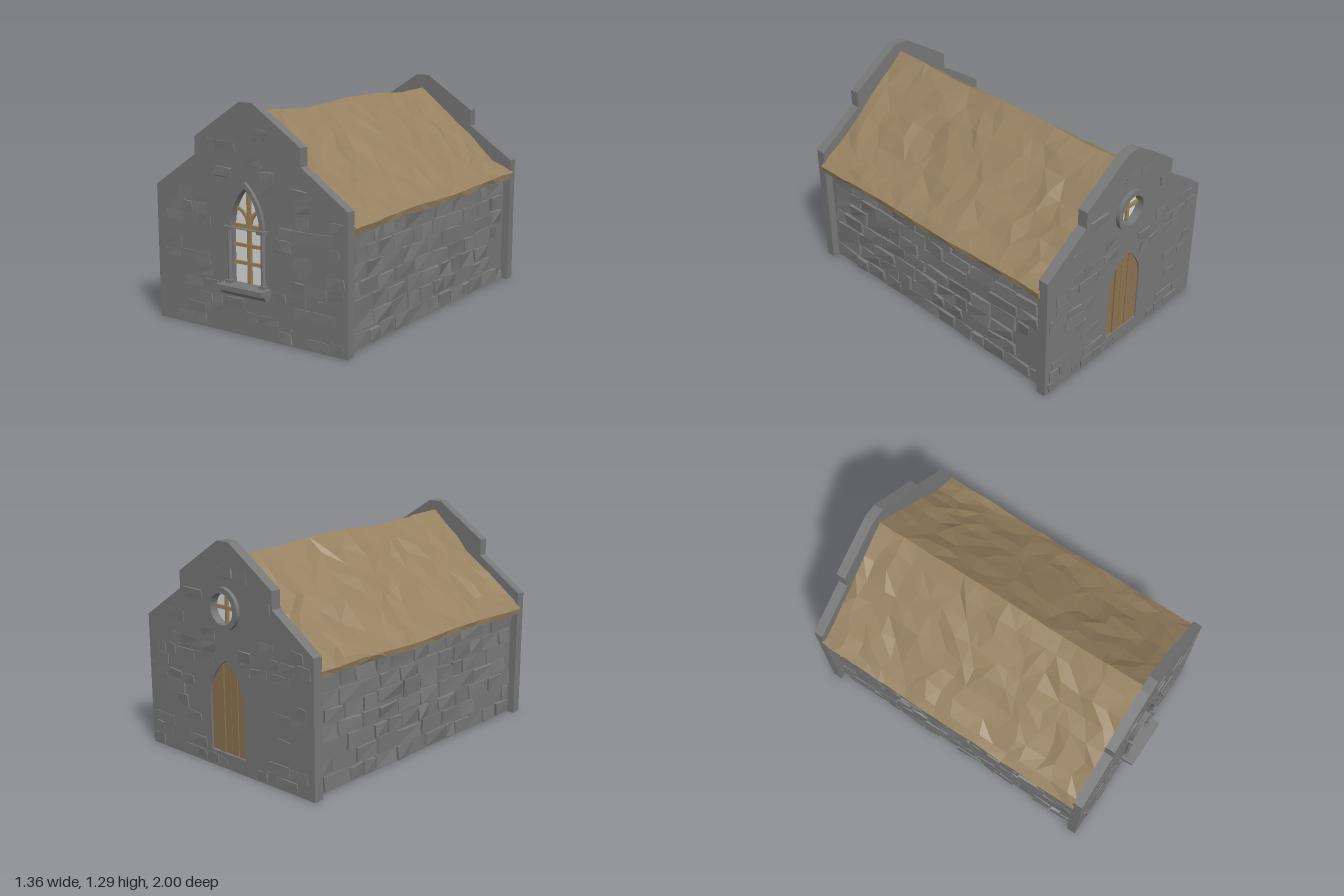
import * as THREE from 'three';
import { mergeGeometries } from 'three/addons/utils/BufferGeometryUtils.js';

const mat = (name, color, extra = {}) => {
  const m = new THREE.MeshStandardMaterial({ color, flatShading: true, ...extra });
  m.name = name;
  return m;
};

export function createModel() {
  const root = new THREE.Group();
  root.name = 'stoneChapel';
  const stone = mat('stone', 0x777777);
  const thatch = mat('thatch', 0x968160);
  const glass = mat('glass', 0xdcdcdc);
  const wood = mat('windowWood', 0x9a8158);
  const doorWood = mat('doorWood', 0x8c7250);
  const gapWood = mat('doorGap', 0x4a3c2a);

  let seed = 11;
  const rnd = (a = 0, b = 1) => {
    seed = (seed * 16807) % 2147483647;
    return a + (b - a) * (seed / 2147483647);
  };
  const add = (name, geo, material, parent = root) => {
    const m = new THREE.Mesh(geo, material);
    m.name = name;
    parent.add(m);
    return m;
  };
  const box = (name, x0, x1, y0, y1, z0, z1, material) => add(name,
    new THREE.BoxGeometry(x1 - x0, y1 - y0, z1 - z0)
      .translate((x0 + x1) / 2, (y0 + y1) / 2, (z0 + z1) / 2), material);
  const slab = (name, shape, z0, z1, material) => add(name,
    new THREE.ExtrudeGeometry(shape, { depth: z1 - z0, bevelEnabled: false, curveSegments: 20 })
      .translate(0, 0, z0), material);
  const V = (x, y) => new THREE.Vector2(x, y);

  // Pointed arch: half width w, spring line s, apex a
  const archY = (x, w, s, a) => {
    const R = (w * w + (a - s) ** 2) / (2 * w);
    return s + Math.sqrt(Math.max(0, R * R - (Math.abs(x) + R - w) ** 2));
  };
  const archPoints = (w, y0, s, a) => {
    const pts = [V(-w, y0), V(w, y0)];
    for (let i = 0; i <= 16; i++) {
      const t = Math.cos((i / 16) * Math.PI);
      const x = w * Math.sign(t) * Math.abs(t) ** 0.7;
      pts.push(V(x, archY(x, w, s, a)));
    }
    return pts;
  };
  const circle = (y, r) => new THREE.Path().absarc(0, y, r, 0, Math.PI * 2);

  // Gable end walls with openings cut through
  const half = [[0.66, 0], [0.66, 0.785], [0.365, 0.985], [0.365, 1.085], [0.045, 1.295]];
  const gableShape = (holes) => {
    const s = new THREE.Shape([
      ...half.map(([x, y]) => V(x, y)), ...half.slice().reverse().map(([x, y]) => V(-x, y))]);
    s.holes.push(...holes);
    return s;
  };
  const windowArch = archPoints(0.103, 0.295, 0.6, 0.838);
  const doorArch = archPoints(0.135, 0.09, 0.4, 0.635);
  slab('frontGable', gableShape([new THREE.Path(windowArch)]), 0.86, 0.919, stone);
  slab('backGable', gableShape([new THREE.Path(doorArch), circle(0.93, 0.09)]), -0.976, -0.915, stone);

  // Side walls
  for (const s of [-1, 1])
    box('sideWall', Math.min(s * 0.575, s * 0.612), Math.max(s * 0.575, s * 0.612), 0, 0.68, -0.92, 0.865, stone);

  // Rough stones laid in rows; each is a box with its corners nudged
  const roughStone = (u0, u1, v0, v1, d) => {
    const g = new THREE.BoxGeometry(2, 2, 2);
    const corner = {};
    const p = g.attributes.position;
    for (let i = 0; i < p.count; i++) {
      const [x, y, z] = [p.getX(i), p.getY(i), p.getZ(i)];
      const c = (corner[`${x},${y},${z}`] ??= [
        (x < 0 ? u0 : u1) + rnd(-0.007, 0.007),
        (y < 0 ? v0 : v1) + rnd(-0.007, 0.007),
        z < 0 ? -0.01 : rnd(0.1, 1) * d]);
      p.setXYZ(i, ...c);
    }
    return g;
  };
  const stones = (name, width, height, row, density, d, allowed, place) => {
    const list = [];
    for (let v = 0.012; v + row * 0.7 < height; v += row) {
      let u = -width / 2 + rnd(0.01, 0.07);
      while (u < width / 2 - 0.07) {
        const u1 = Math.min(u + rnd(0.8, 2.2) * row, width / 2 - 0.012);
        const v0 = v + rnd(-0.008, 0.008);
        const v1 = Math.min(v + row - rnd(0.008, 0.02), height);
        if (rnd() < density && allowed(u, u1, Math.max(v0, 0.008), v1))
          list.push(roughStone(u, u1, Math.max(v0, 0.008), v1, d));
        u = u1 + rnd(0.008, 0.02);
      }
    }
    const m = add(name, mergeGeometries(list), stone);
    place(m);
  };
  const underGable = (u0, u1, v1) => {
    const x = Math.max(Math.abs(u0), Math.abs(u1)) + 0.015;
    return v1 + 0.02 < (x > 0.365 ? 0.985 - (x - 0.365) * 0.68 : 1.295 - (x - 0.045) * 0.656) && x < 0.66;
  };
  const misses = (u0, u1, v0, v1, w, b, t) => u1 < -w || u0 > w || v1 < b || v0 > t;
  stones('frontStones', 1.3, 1.25, 0.072, 0.5, 0.009,
    (a, b, c, e) => underGable(a, b, e) && misses(a, b, c, e, 0.165, 0.22, 0.31)
      && misses(a, b, c, e, 0.15, 0.3, 0.72) && misses(a, b, c, e, 0.09, 0.7, 0.88),
    (m) => m.position.set(0, 0, 0.919));
  stones('backStones', 1.3, 1.25, 0.072, 0.5, 0.009,
    (a, b, c, e) => underGable(a, b, e) && misses(a, b, c, e, 0.15, 0.07, 0.56)
      && misses(a, b, c, e, 0.09, 0.5, 0.65) && misses(a, b, c, e, 0.13, 0.8, 1.06),
    (m) => { m.position.z = -0.976; m.rotation.y = Math.PI; });
  for (const s of [-1, 1]) {
    stones('outerStones', 1.77, 0.67, 0.094, 0.88, 0.022, () => true,
      (m) => { m.position.set(s * 0.612, 0, -0.028); m.rotation.y = s * Math.PI / 2; });
    stones('innerStones', 1.77, 0.67, 0.094, 0.88, 0.018, () => true,
      (m) => { m.position.set(s * 0.575, 0, -0.028); m.rotation.y = -s * Math.PI / 2; });
  }

  // Thatched roof: an uneven cross-section swept from back to front
  const side = [[0.09, 1.148], [0.18, 1.075], [0.27, 1.0], [0.36, 0.928], [0.45, 0.856],
    [0.54, 0.788], [0.62, 0.735], [0.675, 0.7], [0.667, 0.665]];
  const mirror = (a) => a.map(([x, y]) => [-x, y]);
  const ring = [...mirror(side).reverse(), [0, 1.222], ...side, [0.6, 0.672], [0, 1.165], [-0.6, 0.672]];
  const n = ring.length, steps = 18, pos = [], idx = [];
  for (let k = 0; k <= steps; k++) {
    const t = k / steps, end = k === 0 || k === steps;
    const z = -0.925 + t * 1.795;
    const sag = 0.011 * Math.sin(t * 11 + 3.3) + (t - 0.5) * 0.016;
    ring.forEach(([x, y], i) => {
      const outer = i < n - 3, ridge = x === 0, eave = Math.abs(x) > 0.66;
      const j = outer && !ridge && !eave ? 0.011 : 0.003;
      pos.push(x + rnd(-1, 1) * (eave ? 0.004 : j),
        y + sag * (ridge ? 1 : eave ? -0.5 : 0.5) + rnd(-1, 1) * j,
        z + (end ? 0 : rnd(-0.035, 0.035)));
    });
  }
  for (let k = 0; k < steps; k++)
    for (let i = 0; i < n; i++) {
      const a = k * n + i, b = k * n + (i + 1) % n, c = a + n, d = b + n;
      if (rnd() < 0.5) idx.push(a, c, b, b, c, d);
      else idx.push(a, c, d, a, d, b);
    }
  const ends = THREE.ShapeUtils.triangulateShape(ring.map(([x, y]) => V(x, y)), []);
  const top = steps * n;
  for (const [a, b, c] of ends) idx.push(top + a, top + b, top + c, a, c, b);
  const roofGeo = new THREE.BufferGeometry();
  roofGeo.setAttribute('position', new THREE.Float32BufferAttribute(pos, 3));
  roofGeo.setIndex(idx);
  roofGeo.computeVertexNormals();
  const roofMat = thatch;
  roofMat.side = THREE.DoubleSide;
  add('thatchedRoof', roofGeo, roofMat);

  // Front window: glass, glazing bars, arch moulding, columns and sill
  slab('frontGlass', new THREE.Shape(windowArch), 0.886, 0.892, glass);
  box('mullion', -0.012, 0.012, 0.295, 0.83, 0.88, 0.908, wood);
  for (const [y, h] of [[0.41, 0.009], [0.51, 0.009], [0.615, 0.013]])
    box('glazingBar', -0.103, 0.103, y - h, y + h, 0.881, 0.906, wood);
  for (const s of [-1, 1]) {
    const arc = new THREE.Shape();
    const [a0, a1] = s > 0 ? [Math.PI * 0.56, Math.PI] : [0, Math.PI * 0.44];
    arc.absarc(s * 0.107, 0.62, 0.107, a0, a1, false);
    arc.absarc(s * 0.107, 0.62, 0.09, a1, a0, true);
    slab('traceryArc', arc, 0.882, 0.904, wood);
  }
  const moulding = new THREE.Shape(archPoints(0.126, 0.605, 0.606, 0.868));
  moulding.holes.push(new THREE.Path(archPoints(0.1, 0.608, 0.609, 0.836)));
  slab('archMoulding', moulding, 0.89, 0.939, stone);
  for (const s of [-1, 1]) {
    add('column', new THREE.CylinderGeometry(0.013, 0.015, 0.3, 8).translate(s * 0.116, 0.45, 0.928), stone);
    box('capital', s * 0.116 - 0.025, s * 0.116 + 0.025, 0.597, 0.617, 0.9, 0.955, stone);
    box('columnBase', s * 0.116 - 0.021, s * 0.116 + 0.021, 0.296, 0.312, 0.9, 0.951, stone);
  }
  box('sillTop', -0.16, 0.16, 0.268, 0.296, 0.9, 1, stone);
  const under = new THREE.Shape([V(0.9, 0.235), V(0.955, 0.235), V(0.968, 0.25), V(0.975, 0.268), V(0.9, 0.268)]);
  add('sillMoulding', new THREE.ExtrudeGeometry(under, { depth: 0.31, bevelEnabled: false })
    .rotateY(-Math.PI / 2).translate(0.155, 0, 0), stone);
  box('innerSill', -0.14, 0.14, 0.255, 0.295, 0.835, 0.87, stone);

  // Round back window
  const disc = new THREE.Shape().absarc(0, 0.93, 0.092, 0, Math.PI * 2);
  slab('roundGlass', disc, -0.95, -0.944, glass);
  box('roundBarUpright', -0.01, 0.01, 0.84, 1.02, -0.965, -0.935, wood);
  box('roundBarCross', -0.09, 0.09, 0.92, 0.94, -0.964, -0.936, wood);
  const rim = new THREE.Shape().absarc(0, 0.93, 0.12, 0, Math.PI * 2);
  rim.holes.push(circle(0.93, 0.088));
  slab('roundWindowRim', rim, -1, -0.95, stone);

  // Plank door with a dark backing behind the gaps
  slab('doorBacking', new THREE.Shape(doorArch), -0.945, -0.938, gapWood);
  const planks = 5, pw = 0.27 / planks;
  for (let i = 0; i < planks; i++) {
    const x0 = -0.135 + i * pw + rnd(0.001, 0.005), x1 = -0.135 + (i + 1) * pw - rnd(0.001, 0.005);
    const y0 = 0.092 + rnd(0, 0.01);
    const pts = [V(x0, y0), V(x1, y0)];
    for (let k = 4; k >= 0; k--) {
      const x = x0 + (x1 - x0) * k / 4;
      pts.push(V(x, archY(x, 0.135, 0.4, 0.635) - 0.003));
    }
    slab('doorPlank', new THREE.Shape(pts), -0.966 - rnd(0, 0.006), -0.93, doorWood);
  }
  return root;
}
